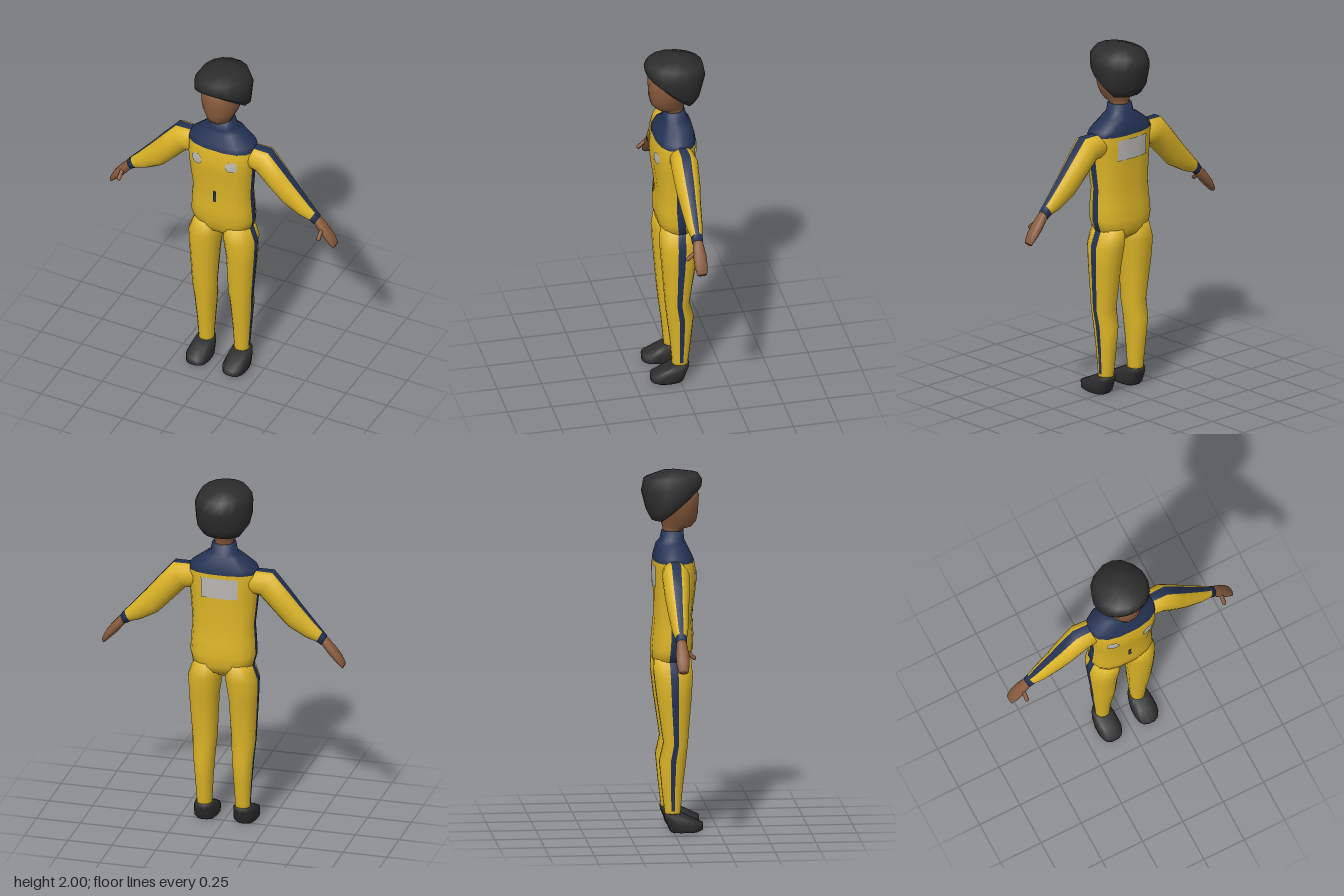
import * as THREE from 'three';

const material = (name, color, side = THREE.FrontSide) => {
  const m = new THREE.MeshStandardMaterial({ color, side });
  m.name = name;
  return m;
};

// Angles round a section, with narrow stripe segments at 0 (j = 15) and PI (j = 7)
const stripeAngles = (h) => {
  const list = [];
  for (const base of [0, Math.PI])
    for (let k = 0; k < 8; k++) list.push(base + h + ((Math.PI - 2 * h) * k) / 7);
  return list;
};
const OUTER = 15, INNER = 7;
const pw = (v, p) => Math.sign(v) * Math.abs(v) ** p;

// Rounded section around centre c, spanned by half axes u and v
const section = (c, u, v, h, p = 1) => stripeAngles(h).map((t) =>
  c.clone().addScaledVector(u, pw(Math.cos(t), p)).addScaledVector(v, pw(Math.sin(t), p)));

// Horizontal section from its x and z limits
const flat = ([y, x0, x1, z0, z1], h, p) => section(
  new THREE.Vector3((x0 + x1) / 2, y, (z0 + z1) / 2),
  new THREE.Vector3((x1 - x0) / 2, 0, 0), new THREE.Vector3(0, 0, (z1 - z0) / 2), h, p);

// Limb section from its upper and lower edge points and half depth
const across = ([tx, ty, bx, by, r], h) => section(
  new THREE.Vector3((tx + bx) / 2, (ty + by) / 2, 0),
  new THREE.Vector3((tx - bx) / 2, (ty - by) / 2, 0), new THREE.Vector3(0, 0, -r), h);

// Capped skin over sections; pick(i, j) chooses the material of each cell
function loft(name, rings, materials, pick = () => 0) {
  const n = rings[0].length, last = rings.length - 1;
  const points = rings.flat();
  const faces = materials.map(() => []);
  for (let i = 0; i < last; i++)
    for (let j = 0; j < n; j++) {
      const k = (j + 1) % n;
      const a = i * n + j, b = i * n + k, c = b + n, d = a + n;
      faces[pick(i, j)].push(a, d, b, b, d, c);
    }
  for (const i of [0, last]) {
    const mid = new THREE.Vector3();
    rings[i].forEach((q) => mid.addScaledVector(q, 1 / n));
    const m = points.push(mid) - 1;
    for (let j = 0; j < n; j++) {
      const a = i * n + j, b = i * n + ((j + 1) % n);
      faces[pick(i ? last - 1 : 0, 0)].push(...(i ? [m, b, a] : [m, a, b]));
    }
  }
  const g = new THREE.BufferGeometry().setFromPoints(points);
  g.setIndex(faces.flat());
  let start = 0;
  faces.forEach((f, i) => { g.addGroup(start, f.length, i); start += f.length; });
  g.computeVertexNormals();
  const mesh = new THREE.Mesh(g, materials);
  mesh.name = name;
  return mesh;
}

// Copy on the other side of the body
function mirrored(mesh, name) {
  const g = mesh.geometry.clone().scale(-1, 1, 1);
  const ix = g.index.array;
  for (let i = 0; i < ix.length; i += 3) [ix[i], ix[i + 1]] = [ix[i + 1], ix[i]];
  g.computeVertexNormals();
  const copy = new THREE.Mesh(g, mesh.material);
  copy.name = name;
  return copy;
}

// Torso sections: y, half width, back z, front z
const TORSO = [
  [0.885, 0.03, -0.04, 0.04], [0.92, 0.12, -0.09, 0.08], [0.96, 0.172, -0.113, 0.1],
  [1.02, 0.187, -0.115, 0.115], [1.1, 0.183, -0.108, 0.118], [1.2, 0.176, -0.098, 0.11],
  [1.35, 0.19, -0.1, 0.13], [1.43, 0.197, -0.103, 0.135], [1.51, 0.2, -0.105, 0.122],
  [1.54, 0.188, -0.1, 0.11], [1.6, 0.11, -0.085, 0.08], [1.62, 0.075, -0.065, 0.07],
  [1.67, 0.065, -0.055, 0.065],
];
const ROUND = 0.8;

// Depth of the torso surface on the front (side 1) or back (side -1)
function torsoZ(x, y, side) {
  const i = TORSO.findIndex((r) => r[0] > y);
  const a = TORSO[i - 1], b = TORSO[i], t = (y - a[0]) / (b[0] - a[0]);
  const [, rx, z0, z1] = a.map((v, k) => v + (b[k] - v) * t);
  const cos = Math.abs(x / rx) ** (1 / ROUND);
  return (z0 + z1) / 2 + side * ((z1 - z0) / 2) * Math.sqrt(1 - cos * cos) ** ROUND;
}

// Thin badge laid on the torso
function badge(name, geometry, x, y, side, mat) {
  if (side < 0) geometry.rotateY(Math.PI);
  geometry.translate(x, y, 0);
  const p = geometry.attributes.position;
  for (let i = 0; i < p.count; i++)
    p.setZ(i, torsoZ(p.getX(i), p.getY(i), side) + side * 0.005);
  geometry.computeVertexNormals();
  const mesh = new THREE.Mesh(geometry, mat);
  mesh.name = name;
  return mesh;
}

export function createModel() {
  const yellow = material('suitYellow', 0xdcb427);
  const navy = material('trimNavy', 0x243254, THREE.DoubleSide);
  const skin = material('skinBrown', 0x875a3c);
  const black = material('charcoal', 0x2d2d2d);
  const grey = material('patchGrey', 0xbcb9b4, THREE.DoubleSide);
  const model = new THREE.Group();
  model.name = 'figure';

  const pair = (part, mesh) => {
    mesh.name = 'left' + part;
    model.add(mesh, mirrored(mesh, 'right' + part));
  };

  // Torso with side stripes, yoke and collar
  model.add(loft('torso', TORSO.map(([y, rx, z0, z1]) => flat([y, -rx, rx, z0, z1], 0.13, ROUND)),
    [yellow, navy], (i, j) => (i >= 8 || (i > 0 && (j === OUTER || j === INNER)) ? 1 : 0)));

  // Legs with an outer stripe
  pair('Leg', loft('leg', [
    [0.97, 0.01, 0.165, -0.108, 0.1], [0.87, 0.012, 0.2, -0.108, 0.108],
    [0.75, 0.03, 0.195, -0.094, 0.1], [0.5, 0.042, 0.18, -0.057, 0.08],
    [0.4, 0.05, 0.172, -0.08, 0.07], [0.25, 0.06, 0.16, -0.066, 0.052],
    [0.12, 0.067, 0.152, -0.05, 0.04], [0.08, 0.067, 0.152, -0.05, 0.04],
  ].reverse().map((r) => flat(r, 0.17, 0.9)), [yellow, navy], (i, j) => (i > 0 && j === OUTER ? 1 : 0)));

  // Shoes
  pair('Shoe', loft('shoe', [
    [0, 0.06, 0.165, -0.015, 0.14], [0.012, 0.046, 0.178, -0.025, 0.162],
    [0.05, 0.045, 0.18, -0.038, 0.163], [0.08, 0.052, 0.172, -0.05, 0.1],
    [0.105, 0.06, 0.162, -0.055, 0.05],
  ].map((r) => flat(r, 0.2, 0.75)), [black]));

  // Sleeves with a top stripe and cuff
  pair('Arm', loft('arm', [
    [0.14, 1.53, 0.14, 1.39, 0.065], [0.285, 1.53, 0.21, 1.38, 0.075],
    [0.375, 1.425, 0.295, 1.29, 0.068], [0.44, 1.345, 0.37, 1.21, 0.056],
    [0.525, 1.245, 0.47, 1.155, 0.044], [0.565, 1.2, 0.53, 1.135, 0.032],
    [0.588, 1.172, 0.558, 1.118, 0.031],
  ].map((r) => across(r, 0.35)), [yellow, navy], (i, j) => (i === 5 || j === OUTER ? 1 : 0)));

  // Hands
  pair('Hand', loft('hand', [
    [0.575, 1.178, 0.553, 1.13, 0.026], [0.6, 1.155, 0.572, 1.105, 0.031],
    [0.64, 1.11, 0.605, 1.065, 0.037], [0.672, 1.065, 0.645, 1.025, 0.036],
    [0.692, 1.02, 0.68, 0.992, 0.028],
  ].map((r) => across(r, 0.35)), [skin]));

  // Thumbs
  const thumb = new THREE.Mesh(new THREE.CapsuleGeometry(0.012, 0.045, 3, 8)
    .rotateX(-0.85).translate(0.612, 1.085, 0.048), skin);
  pair('Thumb', thumb);

  // Neck and face
  model.add(loft('head', [
    [1.64, 0.05, -0.045, 0.05], [1.682, 0.054, -0.05, 0.07], [1.69, 0.062, -0.052, 0.108],
    [1.72, 0.076, -0.06, 0.136], [1.77, 0.1, -0.08, 0.147], [1.82, 0.111, -0.1, 0.149],
    [1.87, 0.112, -0.1, 0.152], [1.92, 0.1, -0.1, 0.135],
  ].map(([y, rx, z0, z1]) => flat([y, -rx, rx, z0, z1], 0.2)), [skin]));

  // Hair: sections sloping down from the brow to the nape
  model.add(loft('hair', [
    // half width, back z, front z, front y, slope, lowest y
    [0.122, -0.115, 0.14, 1.9, 0.82, 1.735], [0.155, -0.142, 0.165, 1.92, 0.62, 1.785],
    [0.16, -0.168, 0.17, 1.955, 0.2, 1.8], [0.132, -0.155, 0.15, 1.985, 0.08, 1.8],
    [0.06, -0.06, 0.07, 2, 0, 2],
  ].map(([rx, z0, z1, y, slope, low]) => flat([0, -rx, rx, z0, z1], 0.2, 0.95).map((q) =>
    q.setY(Math.max(low, y + slope * (q.z - z1))))), [black]));

  // Chest and back patches, and the zip pull
  for (const [side, s] of [['left', 1], ['right', -1]])
    model.add(badge(side + 'ChestPatch', new THREE.CircleGeometry(0.035, 8, Math.PI / 8),
      0.106 * s, 1.43, 1, grey));
  model.add(badge('backPatch', new THREE.PlaneGeometry(0.21, 0.12, 8, 4), 0, 1.43, -1, grey));
  model.add(badge('zipPull', new THREE.PlaneGeometry(0.018, 0.075, 1, 3), 0, 1.193, 1, navy));
  return model;
}
